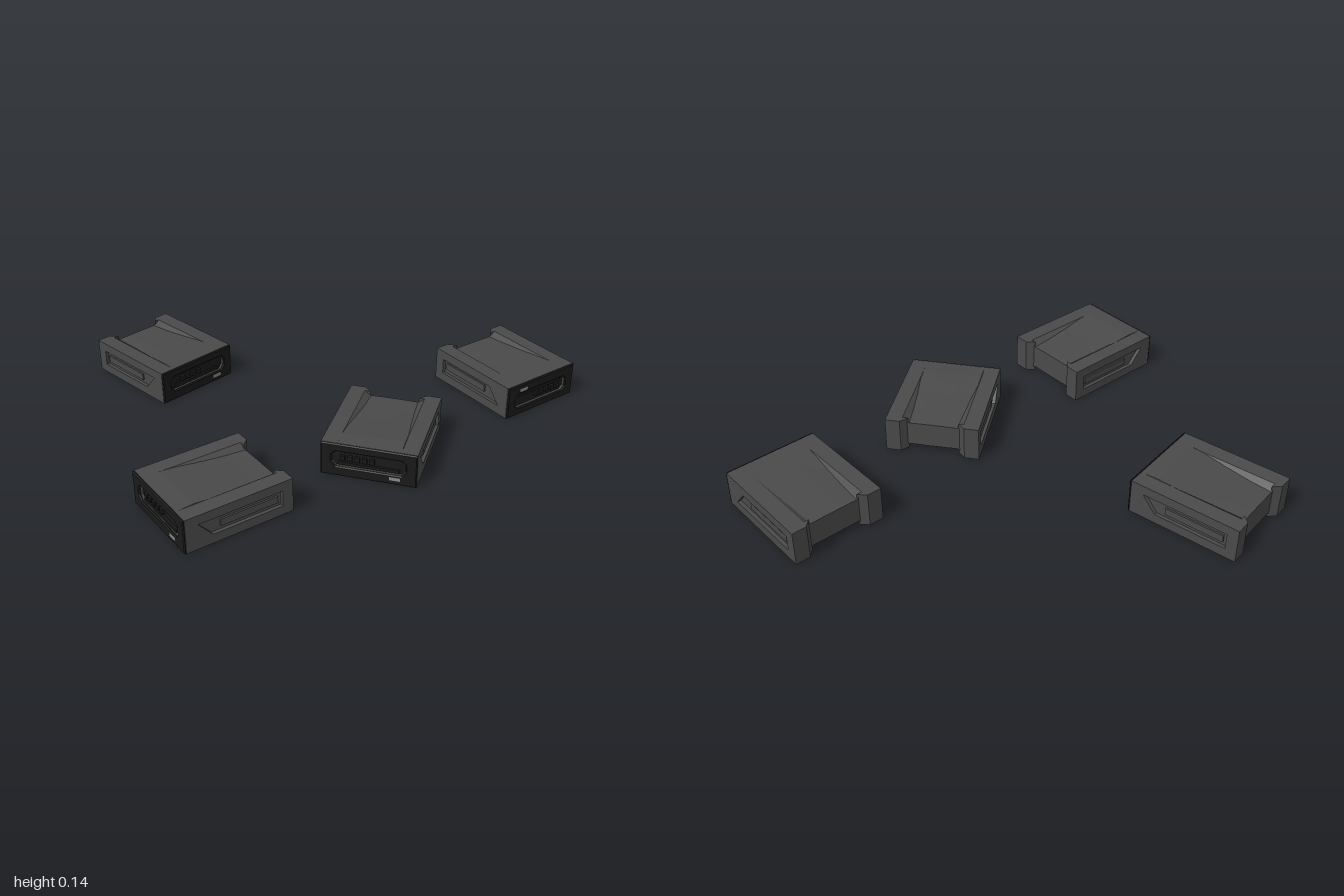
import * as THREE from 'three';

const H = 0.137;                 // height of one cartridge
const HW = 0.182, HL = 0.218;    // half width and half length
const WALL = 0.014;              // side wall thickness

const grey = new THREE.MeshStandardMaterial({ color: 0x4a4a4a, flatShading: true });
const dark = new THREE.MeshStandardMaterial({ color: 0x1a1a1a, flatShading: true });
const pale = new THREE.MeshStandardMaterial({ color: 0x8a8a8a });

function polygon(points, Type = THREE.Shape) {
  return new Type(points.map(([x, y]) => new THREE.Vector2(x, y)));
}

function add(group, name, geometry, material, x = 0, y = 0, z = 0) {
  const mesh = new THREE.Mesh(geometry, material);
  mesh.name = name;
  mesh.position.set(x, y, z);
  group.add(mesh);
  return mesh;
}

function box(group, name, material, w, h, d, x, y, z) {
  return add(group, name, new THREE.BoxGeometry(w, h, d), material, x, y, z);
}

// Core lofted along z: a channel on top and bottom that fades out to the front
function coreGeometry() {
  const rows = [[-0.194, 0.02, 0.02], [-0.1, 0.016, 0.016], [0, 0.009, 0.01],
    [0.08, 0.002, 0.004], [0.14, -0.003, 0], [0.197, 0, 0]];  // z, top depth, bottom depth
  const w = HW - WALL;
  const pos = [], index = [];
  for (const [z, top, bottom] of rows) {
    const half = (d) => [[w, 0], [0.12, 0], [0.12 - 1.3 * Math.max(d, 0.001), d], [0.04, d * 0.95]];
    const side = (d) => {
      const p = half(d);
      return [...p.map(([x, e]) => [-x, e]), ...p.reverse()];
    };
    for (const [x, e] of side(top)) pos.push(x, H - e, z);
    for (const [x, e] of side(bottom).reverse()) pos.push(x, e, z);
  }
  const n = 16, last = (rows.length - 1) * n;
  for (let s = 0; s < rows.length - 1; s++) {
    for (let k = 0; k < n; k++) {
      const a = s * n + k, b = s * n + (k + 1) % n;
      index.push(a, a + n, b + n, a, b + n, b);
    }
  }
  for (let k = 0; k < n / 2 - 1; k++) {
    const tl = k, tr = k + 1, br = n - 2 - k, bl = n - 1 - k;
    index.push(tl, tr, br, tl, br, bl);
    index.push(last + bl, last + br, last + tr, last + bl, last + tr, last + tl);
  }
  const g = new THREE.BufferGeometry();
  g.setAttribute('position', new THREE.Float32BufferAttribute(pos, 3));
  g.setIndex(index);
  const flat = g.toNonIndexed();
  flat.computeVertexNormals();
  return flat;
}

// Side wall with a slanted grip window, drawn in (z, y)
function wallGeometry() {
  const s = polygon([[-HL, 0], [0.2, 0], [0.2, H], [-HL, H]]);
  s.holes.push(polygon([[-0.175, 0.037], [-0.175, 0.1], [0.16, 0.1], [0.105, 0.037]], THREE.Path));
  return new THREE.ExtrudeGeometry(s, { depth: WALL, bevelEnabled: false }).rotateY(-Math.PI / 2);
}

// Rear prong in plan, with its inner face splayed
function prongGeometry(side) {
  const s = polygon([[side * (HW - WALL), HL], [side * 0.125, HL],
    [side * 0.098, 0.19], [side * (HW - WALL), 0.19]]);
  return new THREE.ExtrudeGeometry(s, { depth: H, bevelEnabled: false }).rotateX(-Math.PI / 2);
}

// Front frame around the connector bay
function frameGeometry(depth, bevel) {
  const s = polygon([[-HW, 0], [HW, 0], [HW, H], [-HW, H]]);
  s.holes.push(polygon([[-0.14, 0.058], [-0.125, 0.04], [0.125, 0.04], [0.14, 0.058],
    [0.14, 0.09], [0.125, 0.105], [-0.125, 0.105], [-0.14, 0.09]], THREE.Path));
  return new THREE.ExtrudeGeometry(s, {
    depth, bevelEnabled: bevel > 0, bevelSize: bevel, bevelThickness: bevel,
    bevelOffset: -bevel, bevelSegments: 1,
  });
}

function cartridge() {
  const g = new THREE.Group();
  g.name = 'cartridge';
  add(g, 'core', coreGeometry(), grey);
  for (const side of [-1, 1]) {
    add(g, 'sideWall', wallGeometry(), grey, side > 0 ? HW : -HW + WALL);
    add(g, 'rearProng', prongGeometry(side), grey);
    box(g, 'gripRidge', grey, 0.008, 0.028, 0.23, side * 0.171, 0.066, -0.045);
  }
  // Front end
  add(g, 'frontFrame', frameGeometry(0.013, 0), grey, 0, 0, 0.197);
  add(g, 'frontBezel', frameGeometry(0.002, 0.004), dark, 0, 0, 0.212);
  box(g, 'connectorBay', dark, 0.3, 0.09, 0.004, 0, 0.07, 0.199);
  box(g, 'connectorShelf', dark, 0.23, 0.012, 0.01, 0, 0.052, 0.205);
  for (let i = 0; i < 5; i++) {
    box(g, 'connectorPin', dark, 0.018, 0.02, 0.012, -0.1 + i * 0.028, 0.076, 0.206);
  }
  box(g, 'latchTab', pale, 0.04, 0.014, 0.003, 0.1, 0.025, 0.2175);
  return g;
}

export function createModel() {
  const model = new THREE.Group();
  model.name = 'cartridges';
  // x, z, turn about y, lying upside down
  const places = [
    [-0.715, -0.493, 0.828, false],
    [0.721, -0.411, 0.655, true],
    [0.208, 0.104, -0.255, false],
    [-0.393, 0.492, -0.927, false],
  ];
  for (const [x, z, turn, flipped] of places) {
    const c = cartridge();
    c.position.set(x, flipped ? 0.14 : 0, z);
    c.rotation.set(0, turn, flipped ? Math.PI : 0);
    model.add(c);
  }
  return model;
}
